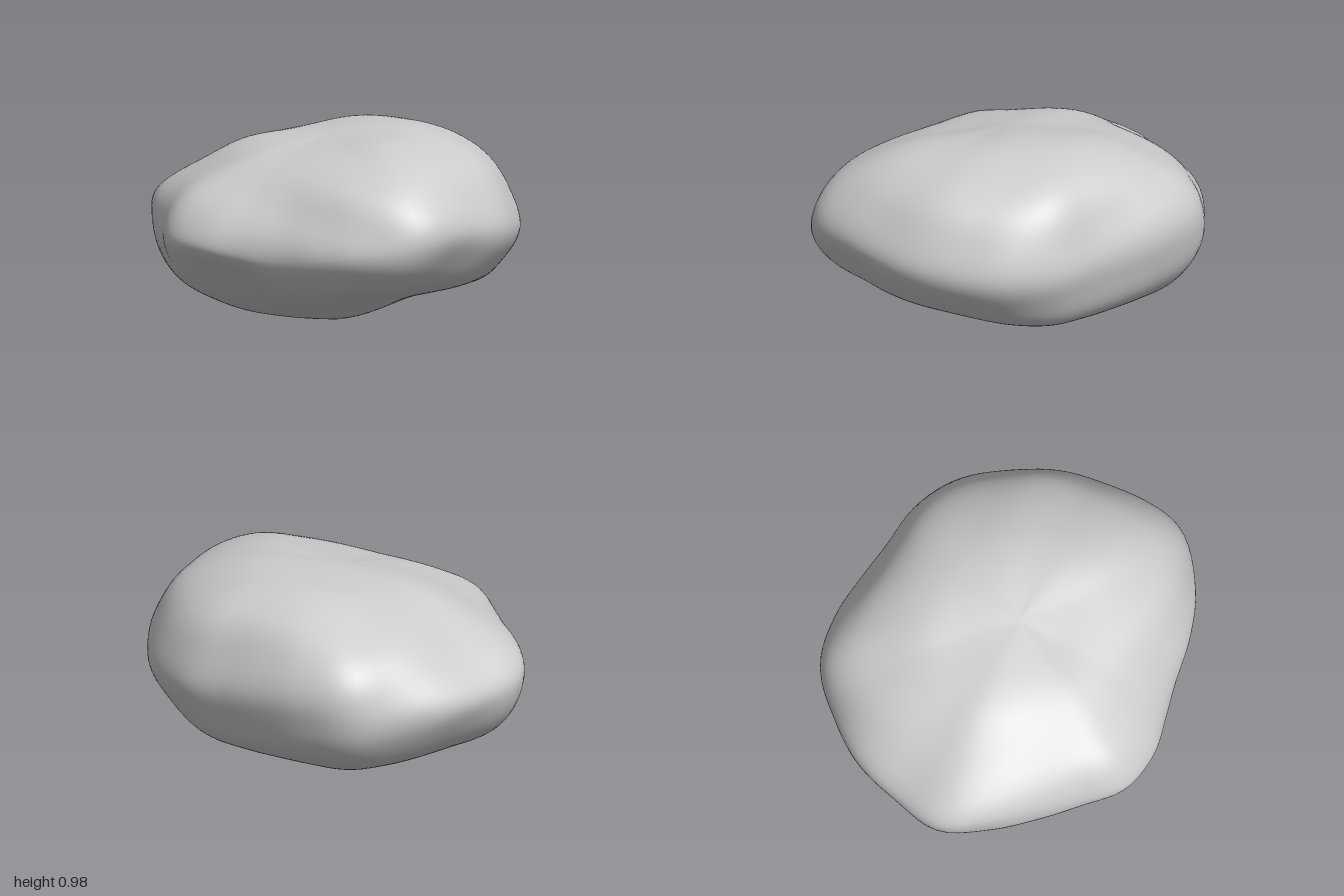
import * as THREE from 'three';

// Plan radius every 15 degrees, from +x towards +z
const RADII = [0.985, 1.015, 0.94, 0.85, 0.79, 0.8, 0.86, 0.895, 0.85, 0.86, 0.93, 1.015,
  0.995, 0.985, 0.98, 1.0, 0.93, 0.87, 0.86, 0.91, 0.935, 0.94, 0.95, 0.96];

// Heights every 30 degrees: upper at 50% and 86% of the radius, rim, lower at 86% and 50%
const HEIGHTS = [
  [0.95, 0.79, 0.54, 0.32, 0.16],
  [0.90, 0.74, 0.47, 0.29, 0.15],
  [0.87, 0.69, 0.42, 0.26, 0.12],
  [0.84, 0.65, 0.46, 0.33, 0.11],
  [0.85, 0.69, 0.49, 0.24, 0.07],
  [0.86, 0.69, 0.53, 0.19, 0.06],
  [0.88, 0.65, 0.47, 0.24, 0.06],
  [0.91, 0.73, 0.49, 0.20, 0.07],
  [0.95, 0.81, 0.51, 0.20, 0.07],
  [0.97, 0.82, 0.50, 0.20, 0.08],
  [0.975, 0.80, 0.48, 0.23, 0.12],
  [0.96, 0.80, 0.52, 0.28, 0.15],
];
const STEPS = [0.5, 0.86, 1, 0.86, 0.5];
const COLUMNS = 120, ROWS = 72;

// Smooth periodic interpolation of a list, t in turns
function periodic(list, t) {
  const n = list.length, f = (((t % 1) + 1) % 1) * n, i = Math.floor(f), u = f - i;
  const [a, b, c, d] = [-1, 0, 1, 2].map((k) => list[(i + k + n) % n]);
  return b + 0.5 * u * (c - a + u * (2 * a - 5 * b + 4 * c - d + u * (3 * (b - c) + d - a)));
}

// One side of the vertical section at a given turn
function halfSection(t, sign) {
  const r = periodic(RADII, t);
  return STEPS.map((s, k) =>
    new THREE.Vector3(sign * s * r, periodic(HEIGHTS.map((h) => h[k]), t), 0));
}

// Gentle weathered ripples
function ripple(p) {
  return 0.005 * Math.sin(6 * p.x + 9 * p.y + 2 * p.z + 1)
    + 0.005 * Math.sin(19 * p.y - 5 * p.z + 3 * p.x)
    + 0.004 * Math.sin(11 * p.z + 8 * p.x * p.y + 2);
}

function boulderGeometry() {
  const positions = [], indices = [];
  for (let c = 0; c < COLUMNS; c++) {
    const t = c / COLUMNS, angle = t * Math.PI * 2;
    // Closed section through both poles, so the surface stays smooth across them
    const section = new THREE.CatmullRomCurve3([
      new THREE.Vector3(0, 0.95, 0), ...halfSection(t, 1),
      new THREE.Vector3(0, 0.02, 0), ...halfSection(t + 0.5, -1).reverse(),
    ], true);
    for (let r = 0; r <= ROWS; r++) {
      const q = section.getPoint(0.5 * r / ROWS);
      const p = new THREE.Vector3(q.x * Math.cos(angle), q.y, q.x * Math.sin(angle));
      const out = new THREE.Vector3(p.x, (p.y - 0.48) * 2, p.z).normalize();
      p.addScaledVector(out, ripple(p));
      positions.push(p.x, p.y, p.z);
    }
  }
  // Poles are shared by all columns
  const id = (c, r) => (r === 0 || r === ROWS ? r : (c % COLUMNS) * (ROWS + 1) + r);
  for (let c = 0; c < COLUMNS; c++) {
    for (let r = 0; r < ROWS; r++) {
      const a = id(c, r), b = id(c + 1, r), d = id(c, r + 1), e = id(c + 1, r + 1);
      if (r > 0) indices.push(a, b, d);
      if (r < ROWS - 1) indices.push(b, e, d);
    }
  }
  const geometry = new THREE.BufferGeometry();
  geometry.setAttribute('position', new THREE.Float32BufferAttribute(positions, 3));
  geometry.setIndex(indices);

  // Centre it and stand it on the ground
  geometry.computeBoundingBox();
  const mid = geometry.boundingBox.getCenter(new THREE.Vector3());
  geometry.translate(-mid.x, -geometry.boundingBox.min.y, -mid.z);
  geometry.computeVertexNormals();
  return geometry;
}

export function createModel() {
  const group = new THREE.Group();
  group.name = 'rock';
  const boulder = new THREE.Mesh(boulderGeometry(), new THREE.MeshStandardMaterial({ color: 0xcccccc }));
  boulder.name = 'boulder';
  group.add(boulder);
  return group;
}
